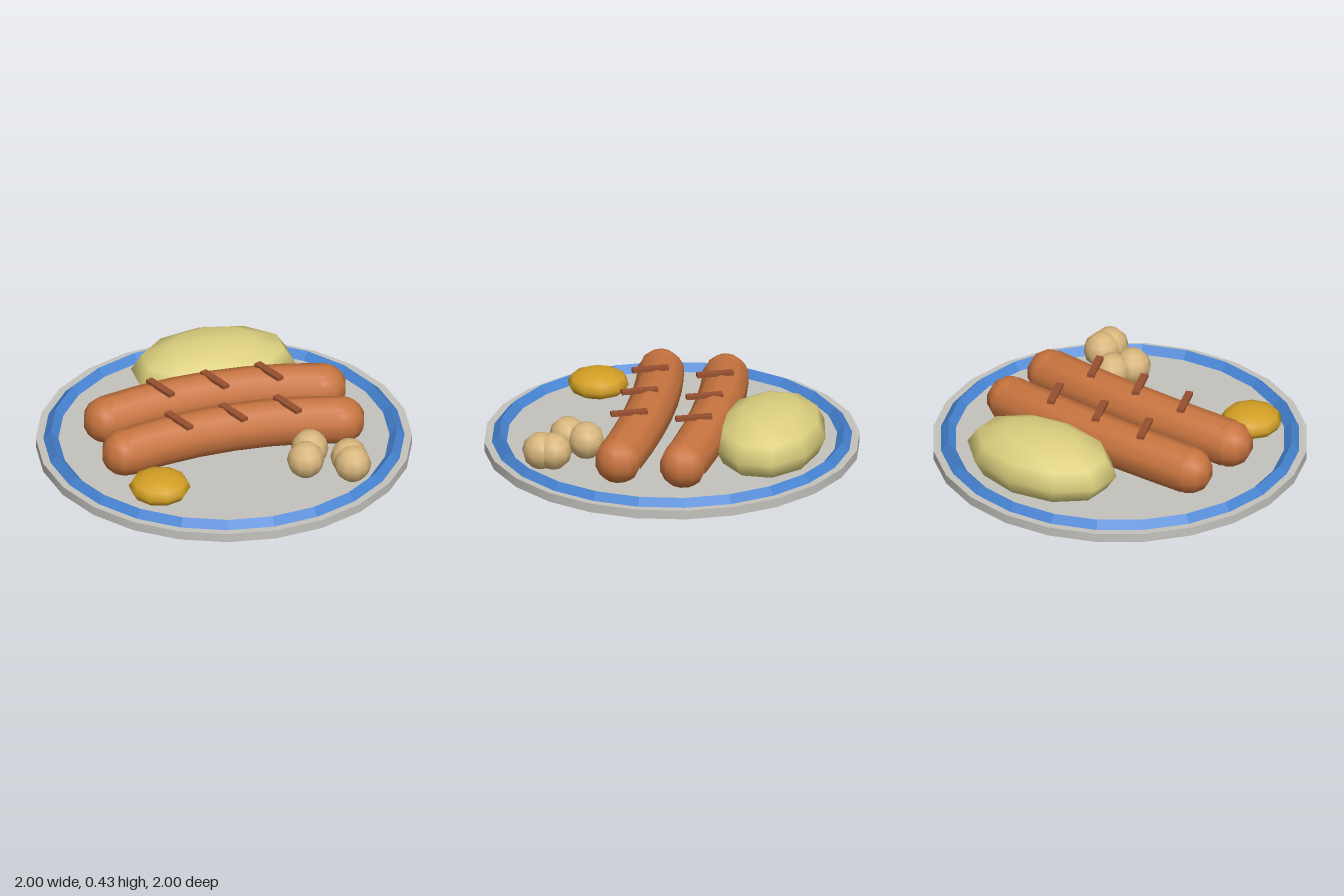
import * as THREE from 'three';

const mat = (name, color) => {
  const m = new THREE.MeshStandardMaterial({ color });
  m.name = name;
  return m;
};

export function createModel() {
  const plateGrey = mat('plateGrey', 0xc4c2bd);
  const rimBlue = mat('rimBlue', 0x4582d0);
  const sausageBrown = mat('sausageBrown', 0xc8743f);
  const grillBrown = mat('grillBrown', 0x97502f);
  const mashYellow = mat('mashYellow', 0xdccf7e);
  const mustardYellow = mat('mustardYellow', 0xd3a024);
  const potatoTan = mat('potatoTan', 0xd8b67c);

  const model = new THREE.Group();
  model.name = 'sausagePlate';
  const add = (name, geometry, material, x, y, z, parent = model) => {
    const mesh = new THREE.Mesh(geometry, material);
    mesh.name = name;
    mesh.position.set(x, y, z);
    parent.add(mesh);
    return mesh;
  };

  // Plate: tapered underside, straight edge and a raised four-sided rim
  add('plateBase', new THREE.CylinderGeometry(1, 0.7, 0.1, 24), plateGrey, 0, 0.05, 0);
  add('plateEdge', new THREE.CylinderGeometry(1, 1, 0.05, 24), plateGrey, 0, 0.125, 0);
  const rimGeometry = new THREE.TorusGeometry(0.92, 0.04, 4, 24).rotateX(Math.PI / 2).toNonIndexed();
  rimGeometry.computeVertexNormals();
  add('plateRim', rimGeometry, rimBlue, 0, 0.15, 0);

  // Sausages: gently bent tubes with round ends and three grill marks each
  const bend = new THREE.QuadraticBezierCurve3(
    new THREE.Vector3(-0.6, 0.255, 0),
    new THREE.Vector3(0, 0.305, -0.1),
    new THREE.Vector3(0.6, 0.255, 0));
  const tube = new THREE.TubeGeometry(bend, 6, 0.127, 10);
  const end = new THREE.SphereGeometry(0.127, 10, 7);
  const mark = new THREE.BoxGeometry(0.04, 0.02, 0.197);
  for (const [name, z] of [['frontSausage', 0.175], ['backSausage', -0.175]]) {
    const sausage = new THREE.Group();
    sausage.name = name;
    sausage.position.z = z;
    model.add(sausage);
    add('sausageBody', tube, sausageBrown, 0, 0, 0, sausage);
    for (const s of [-1, 1]) add('sausageEnd', end, sausageBrown, s * 0.6, 0.255, 0, sausage);
    for (const x of [-0.3, 0, 0.3]) {
      add('grillMark', mark, grillBrown, x, 0.402, 0, sausage).rotation.y = 0.4;
    }
  }

  // Rounded food shapes: ten-sided balls, stretched as needed
  const ball = new THREE.SphereGeometry(1, 10, 6).rotateY(Math.PI / 2);
  const blob = (name, material, [x, y, z], [rx, ry, rz]) =>
    add(name, ball, material, x, y, z).scale.set(rx, ry, rz);

  blob('mash', mashYellow, [0.1, 0.25, -0.55], [0.45, 0.176, 0.3]);
  blob('mustard', mustardYellow, [-0.5, 0.215, 0.495], [0.165, 0.075, 0.165]);
  for (const p of [[0.36, 0.25, 0.395], [0.305, 0.25, 0.505], [0.535, 0.25, 0.54], [0.535, 0.247, 0.608]]) {
    blob('smallPotato', potatoTan, p, [0.1, 0.1, 0.1]);
  }

  return model;
}
